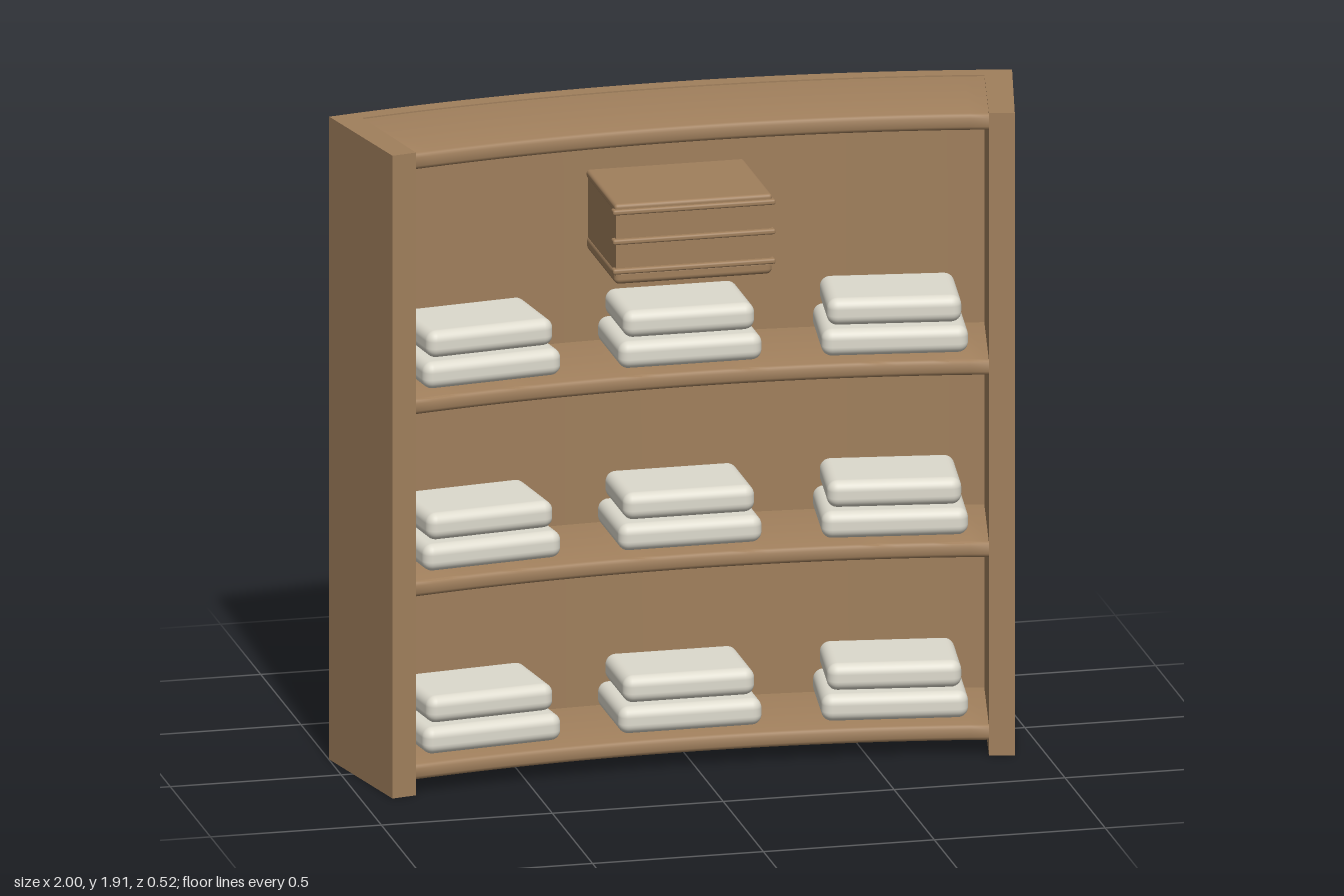
import * as THREE from 'three';
import { toCreasedNormals } from 'three/addons/utils/BufferGeometryUtils.js';
import { RoundedBoxGeometry } from 'three/addons/geometries/RoundedBoxGeometry.js';

// All curved parts share one arc centre in front of the unit
const CENTRE_Z = 4.47;
const R_FRONT = 4.31, R_BACK = 4.73, R_INNER_BACK = 4.68;
const A_OUTER = 0.2128, A_INNER = 0.1957;
const HEIGHT = 1.915;

// Upright ring sector between two radii and two angles
function sector(r0, r1, a0, a1, height, segments) {
  const shape = new THREE.Shape();
  shape.absarc(0, -CENTRE_Z, r1, Math.PI / 2 - a0, Math.PI / 2 - a1, true);
  shape.absarc(0, -CENTRE_Z, r0, Math.PI / 2 - a1, Math.PI / 2 - a0, false);
  shape.closePath();
  const g = new THREE.ExtrudeGeometry(shape, { depth: height, bevelEnabled: false, curveSegments: segments });
  g.rotateX(-Math.PI / 2);
  return toCreasedNormals(g, 0.5);
}

// Curved board with a softly rounded front edge
function board(y0, y1) {
  const b = 0.012, c = b * 0.3;
  const profile = [
    [R_FRONT, y0 + b], [R_FRONT + c, y0 + c], [R_FRONT + b, y0],
    [R_INNER_BACK, y0], [R_INNER_BACK, y1],
    [R_FRONT + b, y1], [R_FRONT + c, y1 - c], [R_FRONT, y1 - b], [R_FRONT, y0 + b],
  ].map(([r, y]) => new THREE.Vector2(r, y));
  const g = new THREE.LatheGeometry(profile, 32, Math.PI - A_INNER, 2 * A_INNER);
  g.translate(0, 0, CENTRE_Z);
  return toCreasedNormals(g, 0.9);
}

export function createModel() {
  const model = new THREE.Group();
  model.name = 'curvedShelf';
  const wood = new THREE.MeshStandardMaterial({ color: 0xa07f5c });
  wood.name = 'wood';
  const linen = new THREE.MeshStandardMaterial({ color: 0xdddacd });
  linen.name = 'linen';

  const add = (parent, name, geometry, material, x = 0, y = 0, z = 0) => {
    const mesh = new THREE.Mesh(geometry, material);
    mesh.name = name;
    mesh.position.set(x, y, z);
    parent.add(mesh);
    return mesh;
  };

  // Carcass
  add(model, 'backPanel', sector(R_INNER_BACK, R_BACK, -A_OUTER, A_OUTER, HEIGHT, 32), wood);
  add(model, 'leftPanel', sector(R_FRONT, R_INNER_BACK, A_INNER, A_OUTER, HEIGHT, 3), wood);
  add(model, 'rightPanel', sector(R_FRONT, R_INNER_BACK, -A_OUTER, -A_INNER, HEIGHT, 3), wood);
  add(model, 'topBoard', board(1.862, 1.911), wood);

  // Shelves, each with three stacks of two folded cloths
  const lowerCloth = new RoundedBoxGeometry(0.42, 0.08, 0.3, 4, 0.03);
  const upperCloth = new RoundedBoxGeometry(0.385, 0.08, 0.265, 4, 0.03);
  for (const top of [0.09, 0.635, 1.178]) {
    add(model, 'shelf', board(top - 0.046, top), wood);
    for (const a of [-0.135, 0, 0.135]) {
      const stack = new THREE.Group();
      stack.name = 'clothStack';
      const r = 4.51;
      stack.position.set(r * Math.sin(a), top, CENTRE_Z - r * Math.cos(a));
      stack.rotation.y = -a;
      add(stack, 'lowerCloth', lowerCloth, linen, 0, 0.042, 0);
      add(stack, 'upperCloth', upperCloth, linen, 0, 0.128, 0);
      model.add(stack);
    }
  }

  // Small chest fixed to the back panel in the upper bay
  const chest = new THREE.Group();
  chest.name = 'chest';
  chest.position.set(-0.003, 0, 0);
  add(chest, 'chestBody', new THREE.BoxGeometry(0.455, 0.2, 0.355), wood, 0, 1.575, -0.033);
  add(chest, 'chestBase', new RoundedBoxGeometry(0.462, 0.045, 0.36, 3, 0.016), wood, 0, 1.471, -0.032);
  add(chest, 'chestTop', new RoundedBoxGeometry(0.462, 0.026, 0.36, 3, 0.01), wood, 0, 1.675, -0.032);
  for (const y of [1.666, 1.578, 1.49]) {
    add(chest, 'chestRail', new RoundedBoxGeometry(0.476, 0.016, 0.03, 2, 0.006), wood, 0, y, 0.143);
  }
  model.add(chest);
  return model;
}
